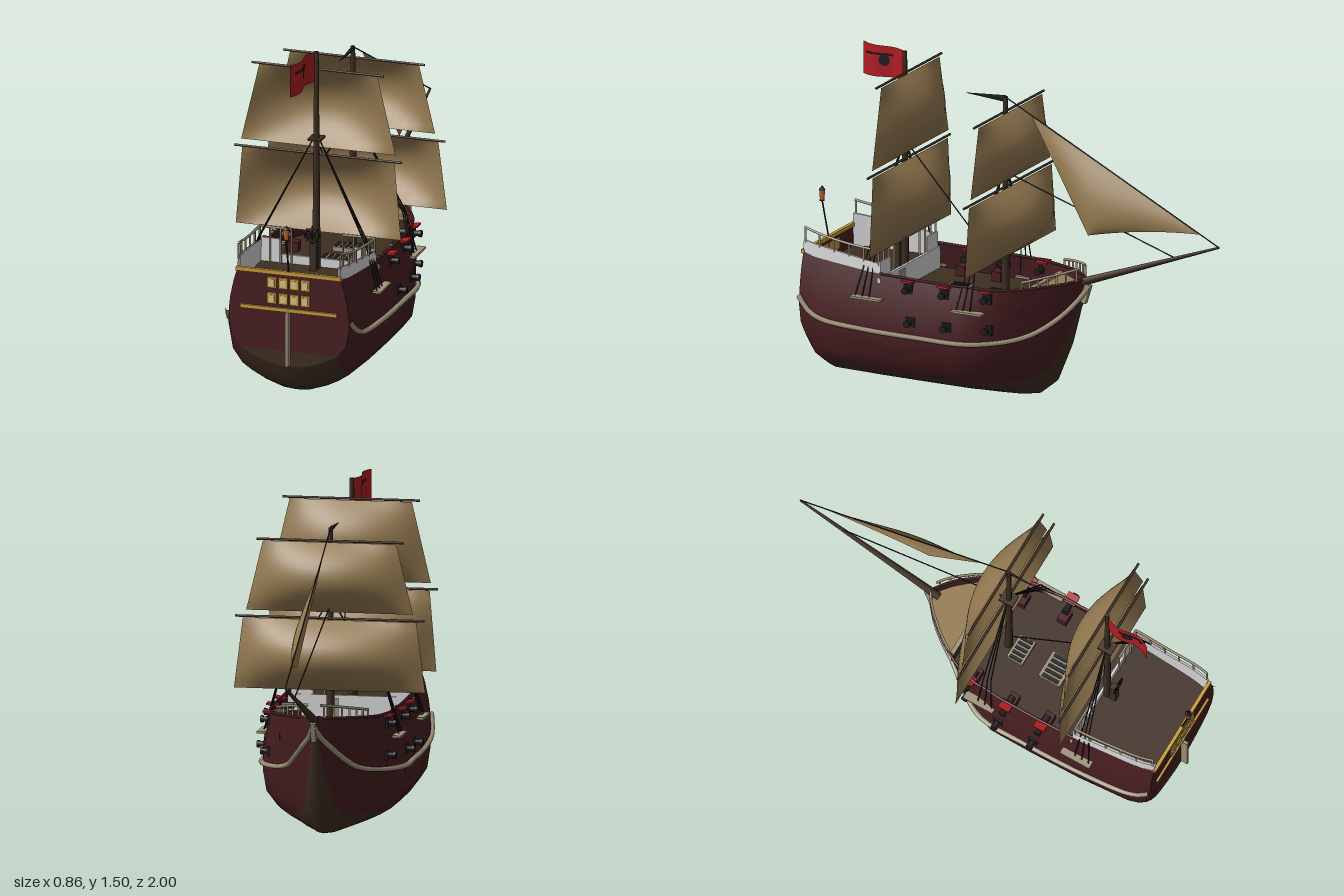
import * as THREE from 'three';

const V = (x, y, z) => new THREE.Vector3(x, y, z);
const mat = (name, color, side = THREE.FrontSide) => {
  const m = new THREE.MeshStandardMaterial({ color, side });
  m.name = name;
  return m;
};
const D = THREE.DoubleSide;
const M = {
  hull: mat('hullRed', 0x481e21, D), wood: mat('darkWood', 0x3f2f22, D),
  iron: mat('blackIron', 0x1e1e20), sail: mat('canvas', 0x967b52, D),
  trim: mat('paleTrim', 0xa0937a), gold: mat('gold', 0xcb9c3a),
  red: mat('brightRed', 0xb01d22, D), white: mat('whitePaint', 0xd8d8d8, D),
  lamp: mat('lampOrange', 0xc46a28), pane: mat('windowPane', 0xd8c48c),
};

// Hull stations from stern to bow: z, keel height, top height, half beam
const STATIONS = [
  [.95, .14, .575, .28], [.93, .09, .57, .287], [.895, .03, .565, .294], [.84, 0, .56, .302],
  [.6, 0, .54, .318], [.35, 0, .535, .322], [.15, 0, .535, .32], [.05, 0, .535, .303],
  [-.04, 0, .535, .262], [-.11, .01, .54, .215], [-.19, .075, .548, .16],
  [-.26, .24, .555, .1], [-.31, .42, .56, .043], [-.33, .55, .566, .006],
];
// Half cross-section from top to keel: beam fraction, height fraction
const SECTION = [[.86, 1], [.92, .87], [.975, .7], [1, .56], [1, .45], [.95, .28],
  [.8, .165], [.65, .11], [.47, .06], [.2, .01], [0, 0]];
const HEIGHTS = SECTION.map(([x, h]) => [h, x]);
const KEEL_ROW = 6;

function lerpTable(table, key, k) {
  const up = table[1][0] > table[0][0];
  for (let i = 0; i < table.length - 1; i++) {
    const a = table[i], b = table[i + 1];
    if ((up ? k <= b[0] : k >= b[0]) || i === table.length - 2) {
      const t = Math.min(1, Math.max(0, (k - a[0]) / (b[0] - a[0])));
      return a[key] + (b[key] - a[key]) * t;
    }
  }
}
const topY = z => lerpTable(STATIONS, 2, z);
// Rounded amidships, flaring toward the bow
function halfBeam(z, y) {
  const k = lerpTable(STATIONS, 1, z);
  const h = Math.min(1, Math.max(0, (y - k) / (topY(z) - k)));
  const flare = Math.min(1, Math.max(0, (.1 - z) / .25));
  return THREE.MathUtils.lerp(lerpTable(HEIGHTS, 1, h), Math.sqrt(h), flare) * lerpTable(STATIONS, 3, z);
}

// Surface through equal rows of points
function loft(rows) {
  const n = rows[0].length, idx = [];
  for (let j = 0; j < n - 1; j++) for (let i = 0; i < rows.length - 1; i++) {
    const a = i * n + j, b = a + n;
    idx.push(a, a + 1, b, a + 1, b + 1, b);
  }
  const g = new THREE.BufferGeometry().setFromPoints(rows.flat());
  g.setIndex(idx);
  g.computeVertexNormals();
  return g;
}
const range = (a, b, n) => Array.from({ length: n + 1 }, (_, i) => a + (b - a) * i / n);

export function createModel() {
  const root = new THREE.Group();
  root.name = 'sailingShip';
  const add = (name, geo, m, x = 0, y = 0, z = 0) => {
    const mesh = new THREE.Mesh(geo, m);
    mesh.name = name;
    mesh.position.set(x, y, z);
    root.add(mesh);
    return mesh;
  };
  const box = (name, w, h, d, m, x, y, z) => add(name, new THREE.BoxGeometry(w, h, d), m, x, y, z);
  const rod = (name, a, b, r0, r1, m, sides = 8) => {
    const mesh = add(name, new THREE.CylinderGeometry(r1, r0, a.distanceTo(b), sides), m);
    mesh.position.lerpVectors(a, b, .5);
    mesh.quaternion.setFromUnitVectors(V(0, 1, 0), b.clone().sub(a).normalize());
  };
  const rope = (a, b) => rod('rope', a, b, .003, .003, M.iron, 5);
  const tube = (name, pts, r, m) =>
    add(name, new THREE.TubeGeometry(new THREE.CatmullRomCurve3(pts), 40, r, 6), m);

  // Hull shell: red topsides, dark bottom
  const rows = STATIONS.map(([z, k, t]) => {
    const half = SECTION.map(([, h]) => V(halfBeam(z, k + h * (t - k)), k + h * (t - k), z));
    return [...half, ...half.slice(0, -1).reverse().map(p => V(-p.x, p.y, z))];
  });
  const hull = loft(rows), per = (STATIONS.length - 1) * 6;
  const bottomRows = 2 * (SECTION.length - 1 - KEEL_ROW);
  hull.addGroup(0, KEEL_ROW * per, 0);
  hull.addGroup(KEEL_ROW * per, bottomRows * per, 1);
  hull.addGroup((KEEL_ROW + bottomRows) * per, KEEL_ROW * per, 0);
  add('hull', hull, [M.hull, M.wood]);

  // Transom closing the stern
  const sternHalf = rows[0].slice(0, SECTION.length);
  const transom = loft([sternHalf.map(p => V(-p.x, p.y, p.z)), sternHalf]);
  transom.addGroup(0, KEEL_ROW * 6, 0);
  transom.addGroup(KEEL_ROW * 6, (SECTION.length - 1 - KEEL_ROW) * 6, 1);
  add('transom', transom, [M.hull, M.wood]);

  // Decks follow the hull outline at their height
  const deck = (name, z0, z1, y, m) => add(name, loft(range(z0, z1, 12).map(z => {
    const w = Math.max(.003, halfBeam(z, y) - .004);
    return [V(-w, y, z), V(w, y, z)];
  })), m);
  deck('mainDeck', .56, -.13, .42, M.wood);
  deck('poopDeck', .948, .55, .48, M.wood);
  deck('foreDeck', -.11, -.32, .51, M.sail);
  box('foreDeckBulkhead', .39, .09, .012, M.wood, 0, .465, -.11);
  box('foreDeckBeam', .39, .015, .02, M.trim, 0, .512, -.11);
  box('poopBulkhead', .57, .1, .012, M.white, 0, .47, .55);
  box('cabinDoor', .05, .085, .008, M.trim, .08, .465, .541);

  // Deck hatches with gratings
  for (const [z, w, d] of [[.13, .12, .08], [.31, .13, .11]]) {
    box('hatchFrame', w, .02, d, M.trim, 0, .43, z);
    for (const x of range(-.4, .4, 4)) box('hatchOpening', w * .13, .006, d * .75, M.iron, x * w, .441, z);
  }

  for (const s of [1, -1]) {
    // Pale wale sweeping up to the stem
    tube('wale', [[.95, .385], [.9, .33], [.83, .3], [.6, .287], [.35, .285], [.1, .285], [-.04, .292],
      [-.13, .315], [-.21, .365], [-.27, .42], [-.315, .48], [-.35, .53]]
      .map(([z, y]) => V(s * ((z < -.32 ? 0 : halfBeam(z, y)) + .005), y, z)), .012, M.trim);
    // Cap along the bulwark
    tube('capRail', range(.55, -.325, 16).map(z => V(s * halfBeam(z, 1), topY(z), z)), .006, M.hull);

    // White poop bulwark, outside and inside, with a short return at its fore end
    const zs = range(.55, .95, 8), wallTop = z => .582 + (z - .55) * .12;
    const wall = (name, inset, low) => add(name, loft(zs.map(z => {
      const x = halfBeam(z, 1) - inset;
      return [V(s * x, low ?? topY(z), z), V(s * (x - .004), wallTop(z), z)];
    })), M.white);
    wall('poopBulwark', 0);
    wall('poopBulwarkLining', .01, .48);
    box('poopBulwarkReturn', .1, .11, .008, M.white, s * .22, .535, .553);
    // Poop and bow railings
    const railY = z => .643 + (z - .55) ** 2 * .3;
    tube('poopRail', range(.56, .945, 8).map(z => V(s * (halfBeam(z, 1) - .006), railY(z), z)), .006, M.trim);
    for (const z of range(.56, .94, 5)) {
      const x = s * (halfBeam(z, 1) - .006);
      rod('railPost', V(x, wallTop(z) - .01, z), V(x, railY(z), z), .005, .005, M.trim, 6);
    }
    rod('poopFrontRail', V(s * .12, .643, .56), V(s * .27, .643, .56), .006, .006, M.trim, 6);
    for (const x of [.12, .17, .22]) rod('railPost', V(s * x, .48, .56), V(s * x, .643, .56), .005, .005, M.trim, 6);
    const bowY = z => .572 + (-.12 - z) * .23;
    tube('bowRail', range(-.12, -.32, 8).map(z => V(s * halfBeam(z, 1), bowY(z), z)), .006, M.trim);
    for (const z of range(-.12, -.31, 6)) {
      const x = s * halfBeam(z, 1);
      rod('bowRailPost', V(x, topY(z), z), V(x, bowY(z), z), .005, .005, M.trim, 6);
    }

    // Cannons and ports; the upper row has lids and carriages
    for (const [y, list] of [[.492, [.4, .22, .02]], [.35, [.375, .195, .015]]]) for (const z of list) {
      const x = halfBeam(z, y);
      box('gunPort', .012, .044, .044, M.iron, s * x, y, z);
      rod('cannonBarrel', V(s * (x - .06), y, z), V(s * (x + .035), y, z), .016, .011, M.iron, 10);
      rod('cannonMuzzle', V(s * (x + .027), y, z), V(s * (x + .04), y, z), .016, .016, M.iron, 10);
      if (y > .4) {
        box('portLid', .05, .008, .056, M.red, s * (x + .002), y + .034, z).rotation.z = s * .15;
        box('cannonCarriage', .06, .045, .045, M.hull, s * (x - .06), .445, z);
      }
    }

    // Chain plates and shrouds
    for (const [mz, my, z0, z1] of [[.57, 1.09, .52, .67], [.067, 1.02, .02, .17]]) {
      const zc = (z0 + z1) / 2, x = halfBeam(zc, .43) + .012;
      box('chainPlate', .04, .01, z1 - z0, M.trim, s * x, .43, zc);
      for (const z of range(zc - .01, z1 - .015, 2)) {
        const bend = V(s * .25, .62, (z + mz) / 2 + .01);
        rope(V(s * .01, my, mz), bend);
        rope(bend, V(s * x, .43, z));
      }
    }
  }

  // Stern gallery: gold beams, windows, rudder
  box('sternBeam', .49, .018, .016, M.gold, 0, .577, .952);
  box('sternBeam', .45, .016, .014, M.gold, 0, .405, .953);
  for (const x of [-.078, -.026, .026, .078]) for (const y of [.455, .528]) {
    box('windowFrame', .042, .05, .008, M.gold, x, y, .953);
    box('windowPane', .026, .033, .004, M.pane, x, y, .958);
  }
  box('rudder', .014, .25, .034, M.trim, 0, .275, .965);

  // Stern lantern
  rod('lanternPole', V(0, .57, .95), V(0, .745, .984), .004, .004, M.iron, 6);
  add('lantern', new THREE.CylinderGeometry(.015, .011, .046, 6), M.lamp, 0, .77, .984);
  add('lanternCap', new THREE.ConeGeometry(.016, .02, 6), M.iron, 0, .803, .984);
  add('lanternBase', new THREE.CylinderGeometry(.013, .013, .006, 6), M.iron, 0, .745, .984);

  // Helm
  box('helmStand', .03, .14, .03, M.wood, 0, .55, .605);
  add('helmWheel', new THREE.TorusGeometry(.03, .004, 6, 20), M.iron, 0, .65, .625);
  for (let i = 0; i < 4; i++) {
    const c = Math.cos(i * Math.PI / 4) * .042, h = Math.sin(i * Math.PI / 4) * .042;
    rod('helmSpoke', V(-c, .65 - h, .625), V(c, .65 + h, .625), .003, .003, M.iron, 5);
  }

  // Square sail bellying toward the bow, with its yard
  const squareSail = (z, yTop, yBot, wTop, wBot, yard, depth) => {
    const g = new THREE.PlaneGeometry(2, 1, 16, 12), p = g.attributes.position;
    for (let i = 0; i < p.count; i++) {
      const u = p.getX(i), v = p.getY(i) + .5;
      p.setXYZ(i, u * (wBot + (wTop - wBot) * v), yBot + (yTop - yBot) * v,
        z - depth * (1 - u * u) * Math.sin(Math.PI * v) ** .9);
    }
    g.computeVertexNormals();
    add('squareSail', g, M.sail);
    rod('yard', V(-yard, yTop + .006, z + .008), V(yard, yTop + .006, z + .008), .0055, .0055, M.wood);
  };
  squareSail(.543, 1.395, 1.035, .275, .36, .308, .11);
  squareSail(.543, 1, .64, .355, .385, .39, .125);
  squareSail(.043, 1.287, .975, .3, .375, .33, .112);
  squareSail(.043, .94, .625, .39, .43, .425, .128);

  // Masts, tops and bowsprit
  for (const [z, top, nest] of [[.57, 1.49, 1.085], [.067, 1.35, 1.012]]) {
    rod('mast', V(0, .42, z), V(0, top, z), .019, .01, M.wood, 10);
    box('mastTop', .06, .01, .07, M.wood, 0, nest, z);
  }
  rod('bowsprit', V(0, .54, -.29), V(0, .803, -1), .019, .005, M.wood);
  box('stemHead', .022, .09, .03, M.trim, 0, .5, -.335).rotation.x = -.3;

  // Jib
  const A = V(0, 1.285, -.06), B = V(0, .85, -.91), C = V(.065, .79, -.38);
  add('jib', loft(range(0, 1, 14).map(u => range(0, 1, 10).map(v => {
    const p = A.clone().lerp(B, u).lerp(C, v);
    p.x += .6 * u * (1 - u) * (1 - v) * v;
    p.y += .06 * u * v * (1 - v);
    return p;
  }))), M.sail);

  // Stays
  rope(V(0, 1.345, .06), V(0, .803, -1));
  rope(V(0, 1, .05), V(0, .725, -.78));
  rope(V(0, 1.06, .55), V(0, .54, .08));

  // Waving flag with a plain dark roundel and bar, and the fore pennant
  const wave = z => -.2 * (z - .57) - .016 * Math.sin((z - .57) * 27);
  add('flag', loft(range(.57, .8, 12).map(z =>
    [V(wave(z), 1.345 + (.8 - z) * .03, z), V(wave(z), 1.495 - (.8 - z) * .03, z)])), M.red);
  for (const off of [.003, -.003]) {
    const disc = new THREE.CircleGeometry(.026, 16).rotateY(Math.sign(off) * Math.PI / 2), p = disc.attributes.position;
    for (let i = 0; i < p.count; i++) p.setX(i, wave(p.getZ(i) + .685) + off);
    add('flagRoundel', disc, M.iron, 0, 1.425, .685);
    for (const z of range(.66, .76, 4))
      box('flagBar', .003, .008, .026, M.iron, wave(z) + off, 1.452, z);
  }
  const pennant = add('pennant', new THREE.ConeGeometry(.016, .21, 4), M.iron, 0, 1.341, .17);
  pennant.rotation.x = Math.PI / 2;
  pennant.scale.x = .4;
  return root;
}
